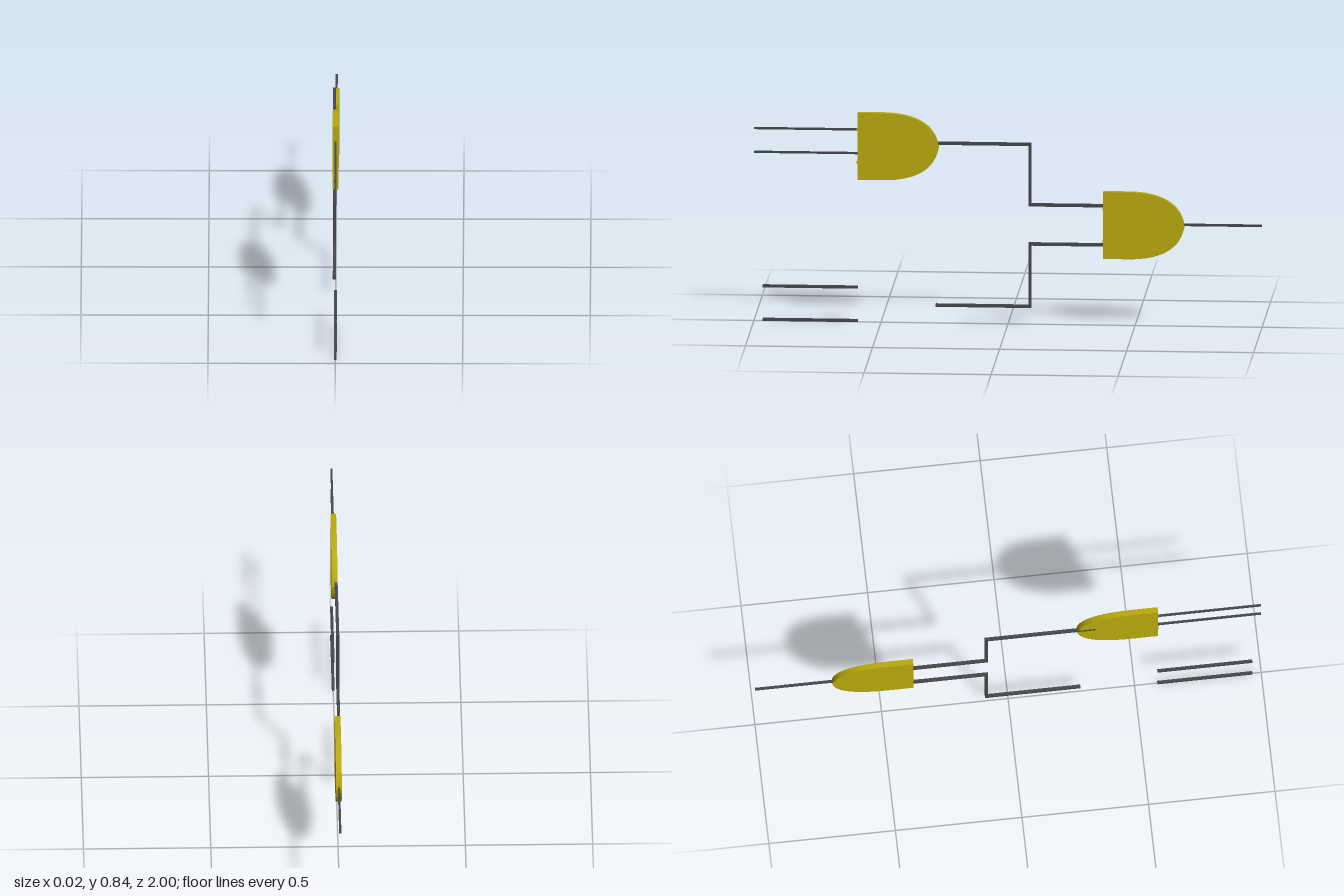
import * as THREE from 'three';

const gateMat = new THREE.MeshStandardMaterial({ color: 0xb9ab0e });
const wireMat = new THREE.MeshStandardMaterial({ color: 0x45474c });

export function createModel() {
  const model = new THREE.Group();

  function bar(name, x, y, z, h, length, w = h, mat = wireMat) {
    const mesh = new THREE.Mesh(new THREE.BoxGeometry(w, h, length), mat);
    mesh.name = name;
    mesh.position.set(x, y, z);
    model.add(mesh);
  }
  // straight wire running along z
  const wire = (name, x, y, z0, z1, t) => bar(name, x, y, (z0 + z1) / 2, t, Math.abs(z0 - z1));

  // D-shaped plate: flat edge toward +z, rounded nose toward -z
  function gate(name, y, zFlat) {
    const h = 0.134, len = 0.32, depth = 0.023;
    const s = new THREE.Shape();
    s.moveTo(0, -h);
    s.lineTo(0.1, -h);
    s.bezierCurveTo(0.215, -h, 0.305, -0.098, len, 0);
    s.bezierCurveTo(0.305, 0.098, 0.215, h, 0.1, h);
    s.lineTo(0, h);
    s.closePath();
    const geo = new THREE.ExtrudeGeometry(s, { depth, bevelEnabled: false, curveSegments: 14 });
    geo.translate(0, 0, -depth / 2).rotateY(Math.PI / 2);
    const mesh = new THREE.Mesh(geo, gateMat);
    mesh.name = name;
    mesh.position.set(0, y, zFlat);
    model.add(mesh);
    // small input terminals on the flat edge
    for (const dy of [-0.066, 0.066])
      bar(name + 'Terminal', 0, y + dy, zFlat, 0.012, 0.006, 0.012, gateMat);
  }
  gate('upperGate', 0.706, 0.592);
  gate('lowerGate', 0.402, -0.375);

  // stepped wires leading into the second gate
  const t = 0.012, x = -0.006, zStep = -0.086;
  function steppedWire(name, zStart, yStart, yEnd) {
    wire(name + 'Start', x, yStart, zStart, zStep - t / 2, t);
    bar(name + 'Riser', x, (yStart + yEnd) / 2, zStep, Math.abs(yStart - yEnd) + t, t, t);
    wire(name + 'End', x, yEnd, zStep + t / 2, -0.376, t);
  }
  steppedWire('upperLink', 0.345, 0.72, 0.478);
  steppedWire('lowerLink', 0.285, 0.071, 0.321);

  // thin input and output wires
  for (const y of [0.772, 0.677]) wire('upperInputWire', 0, y, 1, 0.592, 0.008);
  wire('outputWire', 0, 0.407, -0.69, -1, 0.009);

  // loose input wires at the bottom
  for (const y of [0.14, 0.006]) wire('looseInputWire', 0, y, 0.965, 0.59, 0.011);

  return model;
}
